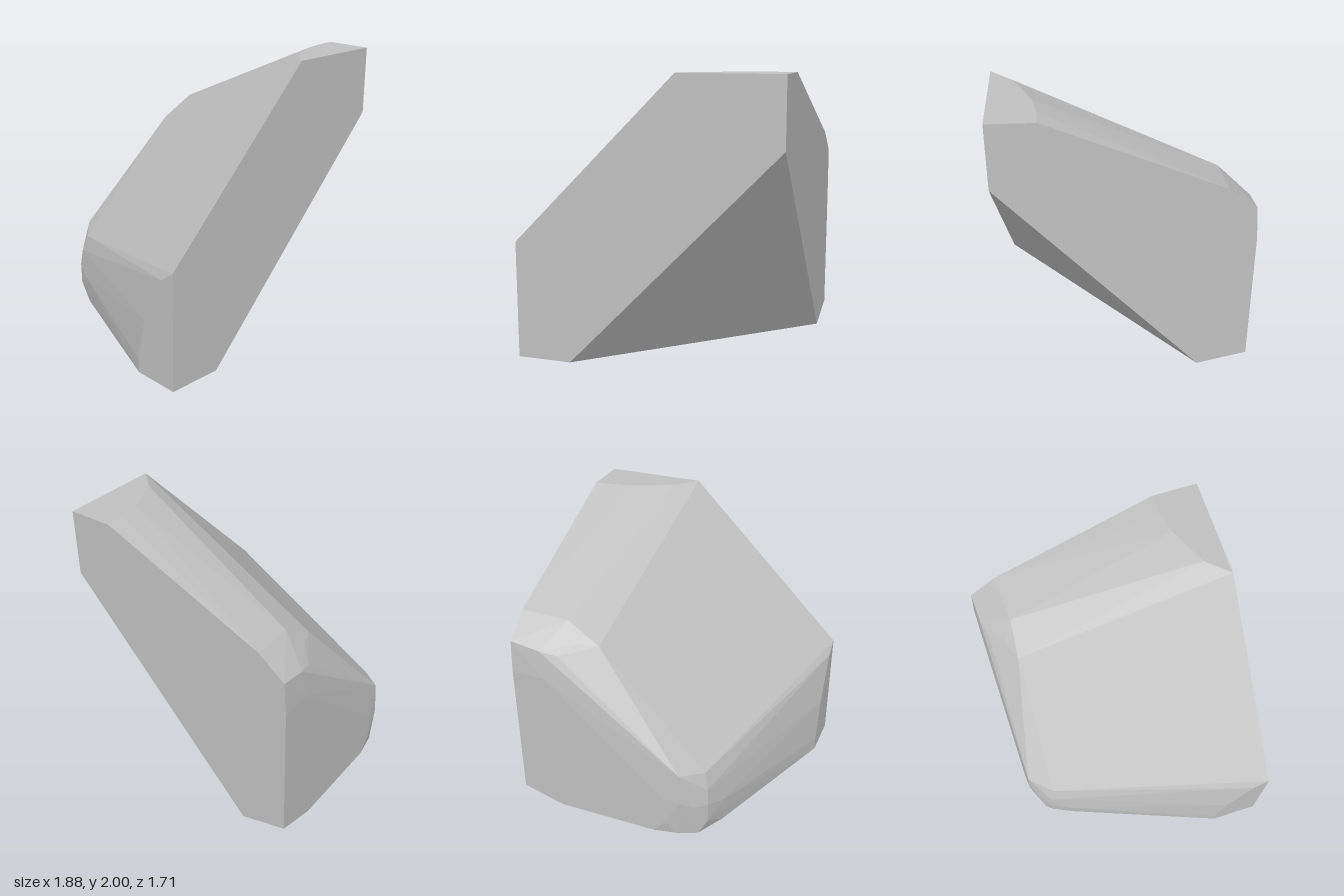
import * as THREE from 'three';
import { ConvexGeometry } from 'three/addons/geometries/ConvexGeometry.js';

export function createModel() {
  const group = new THREE.Group();
  group.name = 'rockChunk';
  const stone = new THREE.MeshStandardMaterial({ color: 0xc0c0c0 });
  stone.name = 'pale grey stone';

  // Corner points of the faceted block, grouped by the face they bound
  const front = [
    [-0.94, 0, 0.855], [-0.55, 0, 0.855], [0.935, 1.53, 0.855],
    [0.935, 2, 0.855], [0.22, 2, 0.855], [-0.94, 0.83, 0.855],
  ];
  const top = [[0.36, 2, 0.7], [0.63, 2, 0.575], [0.8, 2, 0.54], [0.935, 2, 0.535]];
  const rightSide = [
    [0.935, 1.49, -0.65], [0.935, 1.34, -0.838], [0.935, 1.1, -0.855],
    [0.935, 0.09, -0.855], [0.935, 0, -0.51],
  ];
  const leftSide = [[-0.94, 0.755, 0.75], [-0.94, 0.415, 0.58], [-0.94, 0.1, 0.51], [-0.94, 0, 0.515]];
  const base = [
    [0.63, 0, -0.855], [-0.11, 0, -0.855], [-0.3, 0, -0.82],
    [-0.42, 0, -0.765], [-0.53, 0, -0.56],
  ];
  // Worn shoulder between the long slope and the back
  const shoulder = [
    [0.36, 1.317, -0.644], [0.5, 1.336, -0.7], [0.6, 1.46, -0.62],
    [0.6, 1.27, -0.8], [0.725, 1.3, -0.83], [0.7, 1.1, -0.853],
  ];
  // Rounded lower corner at the back
  const backCorner = [
    [-0.44, 0.49, -0.68], [-0.3, 0.53, -0.835], [-0.47, 0.37, -0.71],
    [-0.48, 0.25, -0.725], [-0.48, 0.1, -0.72], [-0.39, 0.25, -0.8],
    [-0.31, 0.3, -0.845], [-0.2, 0.3, -0.855], [-0.2, 0.1, -0.855],
    [-0.54, 0.2, -0.58],
  ];

  const points = [front, top, rightSide, leftSide, base, shoulder, backCorner]
    .flat().map((p) => new THREE.Vector3(...p));
  const rock = new THREE.Mesh(new ConvexGeometry(points), stone);
  rock.name = 'rock';
  group.add(rock);
  return group;
}
